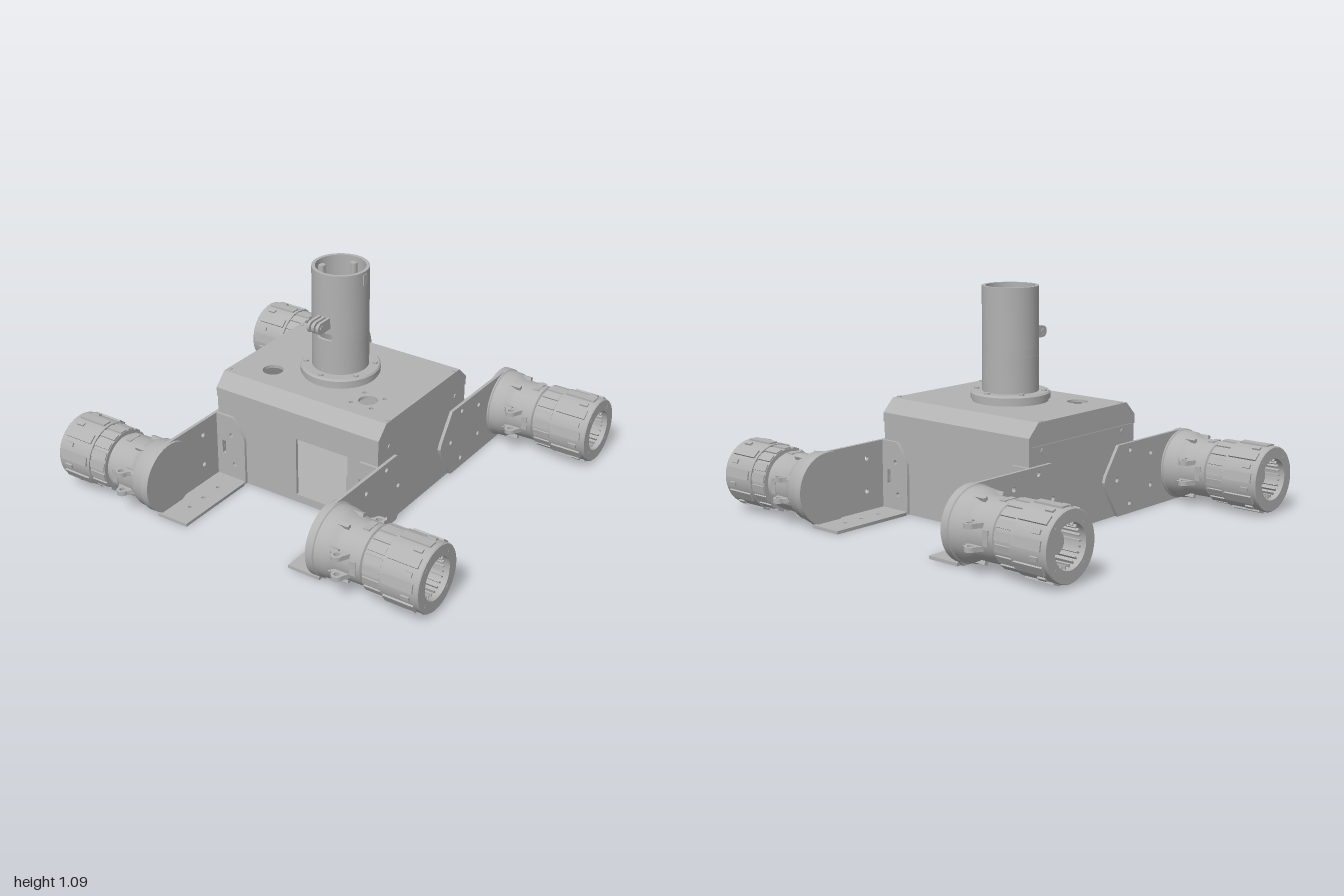
import * as THREE from 'three';
import { toCreasedNormals } from 'three/addons/utils/BufferGeometryUtils.js';

const metal = new THREE.MeshStandardMaterial({ color: 0xb2b2b2, side: THREE.DoubleSide });
metal.name = 'brushed grey';

const V = (p) => p.map(([a, b]) => new THREE.Vector2(a, b));
const TAU = Math.PI * 2;

function add(parent, name, geo, x = 0, y = 0, z = 0) {
  const mesh = new THREE.Mesh(geo, metal);
  mesh.name = name;
  mesh.position.set(x, y, z);
  parent.add(mesh);
  return mesh;
}

// Flat sheet cut from an outline; holes are [a, b, radius] or [a, b, width, height]
function sheet(plane, outline, thick, holes = []) {
  const shape = new THREE.Shape(V(outline));
  for (const [a, b, w, h] of holes) {
    const hole = new THREE.Path();
    if (h === undefined) hole.absarc(a, b, w, 0, TAU, true);
    else hole.setFromPoints(V([[a - w / 2, b - h / 2], [a - w / 2, b + h / 2], [a + w / 2, b + h / 2], [a + w / 2, b - h / 2]]));
    shape.holes.push(hole);
  }
  const geo = new THREE.ExtrudeGeometry(shape, { depth: thick, bevelEnabled: false, curveSegments: 10 });
  geo.translate(0, 0, -thick / 2);
  if (plane === 'zy') geo.rotateY(-Math.PI / 2);
  if (plane === 'xz') geo.rotateX(Math.PI / 2);
  return toCreasedNormals(geo, 0.5);
}

const rect = (a0, b0, a1, b1) => [[a0, b0], [a1, b0], [a1, b1], [a0, b1]];
const flip = (list, s) => list.map(([a, ...rest]) => [a * s, ...rest]);
const arc = (cx, cy, r, a0, a1, n = 12) => Array.from({ length: n + 1 }, (_, i) => {
  const a = a0 + (a1 - a0) * i / n;
  return [cx + r * Math.cos(a), cy + r * Math.sin(a)];
});
const lathe = (pts, start = 0, len = TAU) => toCreasedNormals(new THREE.LatheGeometry(V(pts), 48, start, len), 0.5);
const rod = (r, len, sides = 16) => toCreasedNormals(new THREE.CylinderGeometry(r, r, len, sides), 0.6);

const flangeHoles = [[0.37, 0.255, 0.011], [0.355, 0.1, 0.011], [0.415, 0.18, 0.02, 0.07]];

function makeBody() {
  const g = new THREE.Group();
  g.name = 'body';
  // Hollow lower box
  const bothHoles = [...flangeHoles, ...flip(flangeHoles, -1)];
  add(g, 'frontPanel', sheet('xy', rect(-0.455, 0.01, 0.455, 0.44), 0.015, [...bothHoles, [0.145, 0.2, 0.29, 0.3]]), 0, 0, 0.3725);
  add(g, 'backPanel', sheet('xy', rect(-0.455, 0.01, 0.455, 0.44), 0.015, bothHoles), 0, 0, -0.3725);
  add(g, 'floorPanel', new THREE.BoxGeometry(0.88, 0.015, 0.73), 0, 0.0175, 0);
  // Lid with chamfered front and back edges
  const edge = [[0.383, 0.44], [0.383, 0.485], [0.32, 0.548], [0.32, 0.533], [0.368, 0.48], [0.368, 0.44]];
  const cap = [[-0.38, 0.442], [0.38, 0.442], [0.38, 0.484], [0.319, 0.546], [-0.319, 0.546], [-0.38, 0.484]];
  for (const s of [-1, 1]) {
    add(g, 'sidePanel', sheet('zy', rect(-0.365, 0.01, 0.365, 0.44), 0.015), s * 0.4475);
    add(g, 'lidEdge', sheet('zy', flip(edge, s), 0.916));
    add(g, 'lidEnd', sheet('zy', cap, 0.016), s * 0.449);
    for (const t of [-1, 1]) {
      add(g, 'sideScrew', rod(0.012, 0.006), s * 0.457, 0.415, t * 0.29).rotation.z = Math.PI / 2;
      add(g, 'lidScrew', rod(0.01, 0.006), s * 0.445, 0.549, t * 0.29);
    }
  }
  const small = [[0.215, 0.13], [0.325, 0.13], [0.215, 0.24], [0.325, 0.24]].map((p) => [...p, 0.011]);
  add(g, 'lidTop', sheet('xz', rect(-0.458, -0.32, 0.458, 0.32), 0.015,
    [[-0.27, 0.185, 0.05], [0.27, 0.185, 0.045], ...small]), 0, 0.5405, 0);
  return g;
}

function makeMast() {
  const g = new THREE.Group();
  g.name = 'mast';
  g.position.z = 0.012;
  add(g, 'mastFlange', lathe([[0, 0.548], [0.182, 0.548], [0.182, 0.562], [0.19, 0.562], [0.19, 0.588], [0.183, 0.596], [0, 0.596]]));
  // Tube in three stacked sections, the middle one open at the front as a cable slot
  const tube = (y0, y1, gap) => lathe([[0.118, y0], [0.135, y0], [0.135, y1], [0.118, y1], [0.118, y0]], gap, TAU - 2 * gap);
  add(g, 'mastTube', tube(0.59, 0.765, 0));
  add(g, 'mastTubeSlot', tube(0.765, 0.8, 0.3));
  add(g, 'mastTube', tube(0.8, 1.095, 0));
  add(g, 'mastLatch', new THREE.BoxGeometry(0.012, 0.05, 0.03), 0.132, 1.055, 0);
  for (let i = 0; i < 6; i++) {
    const a = i * TAU / 6;
    add(g, 'flangeBolt', rod(0.013, 0.01), 0.163 * Math.sin(a), 0.599, 0.163 * Math.cos(a));
  }
  for (let i = 0; i < 4; i++) {
    const a = i * TAU / 4;
    add(g, 'innerLug', rod(0.018, 0.1), 0.107 * Math.sin(a), 1.02, 0.107 * Math.cos(a));
  }
  // Three-pronged hinge on the front of the mast
  const prong = [[0.12, 0.83], ...arc(0.2, 0.857, 0.028, -Math.PI / 2, Math.PI / 2), [0.12, 0.885]];
  for (const x of [-0.025, 0, 0.025]) add(g, 'hingeProng', sheet('zy', prong, 0.014, [[0.2, 0.857, 0.013]]), x);
  add(g, 'hingeBolt', rod(0.013, 0.07, 6), 0, 0.857, 0.2).rotation.z = Math.PI / 2;
  return g;
}

// Folded arm joining the body to a thruster; sx and sz choose the corner
function makeArm(sx, sz) {
  const g = new THREE.Group();
  g.name = 'arm';
  const side = [[0.15, 0.16], [0.245, 0.01], [0.82, 0.01], ...arc(0.757, 0.182, 0.172, -1.05, Math.PI / 2),
    [0.245, 0.354], [0.15, 0.22], [0.14, 0.19]];
  const holes = [[0.335, 0.32], [0.235, 0.19], [0.335, 0.06], [0.5, 0.28], [0.5, 0.12]].map((p) => [...p, 0.012]);
  add(g, 'armSidePlate', sheet('zy', flip(side, sz), 0.016, flip(holes, sz)), sx * 0.464);
  const flange = [[0.457, 0.012], [0.457, 0.354], [0.365, 0.354], [0.35, 0.345], [0.297, 0.265], [0.292, 0.25], [0.292, 0.012]];
  add(g, 'armBodyFlange', sheet('xy', flip(flange, sx), 0.015, flip(flangeHoles, sx)), 0, 0, sz * 0.388);
  const shelf = [[0.457, 0.382], [0.457, 0.845], [0.29, 0.845], [0.29, 0.41], [0.305, 0.382]];
  const shelfHoles = [0.51, 0.62, 0.72].map((z) => [0.37, z, 0.01]);
  const place = (list) => list.map(([x, z, ...r]) => [x * sx, z * sz, ...r]);
  add(g, 'armShelf', sheet('xz', place(shelf), 0.015, place(shelfHoles)), 0, 0.0175, 0);
  return g;
}

// Thruster pointing along +x, centred on its own axis
function makeThruster() {
  const g = new THREE.Group();
  g.name = 'thruster';
  const casing = lathe([[0, 0.442], [0.172, 0.442], [0.172, 0.478], [0.166, 0.482], [0.163, 0.53], [0.152, 0.555],
    [0.141, 0.575], [0.139, 0.7], [0.128, 0.705], [0.128, 0.72], [0.148, 0.72], [0.148, 0.81], [0.158, 0.81],
    [0.158, 0.995], [0.154, 1], [0.1, 1], [0.1, 0.84], [0, 0.84]]);
  add(g, 'casing', casing.rotateZ(-Math.PI / 2));

  // Boxes repeated around the axis
  const around = (name, n, r, x, size, phase = 0) => {
    for (let i = 0; i < n; i++) {
      const a = phase + i * TAU / n;
      add(g, name, new THREE.BoxGeometry(...size), x, r * Math.cos(a), r * Math.sin(a)).rotation.x = a;
    }
  };
  around('gripRib', 18, 0.148, 0.765, [0.085, 0.012, 0.036]);
  around('ringClip', 9, 0.158, 0.9, [0.15, 0.014, 0.045]);
  around('clipTab', 9, 0.159, 0.94, [0.04, 0.014, 0.02], TAU / 18);
  around('innerVane', 24, 0.094, 0.91, [0.13, 0.018, 0.007]);
  around('casingWindow', 4, 0.138, 0.665, [0.03, 0.008, 0.07]);
  around('casingRib', 8, 0.148, 0.56, [0.07, 0.02, 0.02], TAU / 16);

  // Hub and face screws
  add(g, 'hub', rod(0.05, 0.09, 24), 0.88, 0, 0).rotation.z = Math.PI / 2;
  for (let i = 0; i < 4; i++) {
    const a = (i + 0.5) * TAU / 4;
    add(g, 'faceScrew', rod(0.01, 0.006), 0.998, 0.125 * Math.cos(a), 0.125 * Math.sin(a)).rotation.z = Math.PI / 2;
  }
  // Paired mounting ears
  for (const s of [-1, 1]) {
    const ear = [[0.54, 0.11], [0.55, 0.14], ...arc(0.602, 0.163, 0.027, Math.PI, 0), [0.645, 0.135], [0.65, 0.11]];
    const outline = ear.map(([x, z]) => [x, z * s]);
    for (const y of [-0.05, 0.05]) add(g, 'mountingEar', sheet('xz', outline, 0.022, [[0.602, 0.163 * s, 0.014]]), 0, y, 0);
  }
  return g;
}

export function createModel() {
  const model = new THREE.Group();
  model.name = 'fourThrusterVehicle';
  model.add(makeBody(), makeMast());
  for (const sx of [-1, 1]) {
    for (const sz of [-1, 1]) {
      model.add(makeArm(sx, sz));
      const thruster = makeThruster();
      thruster.position.set(0, 0.182, sz * 0.757);
      thruster.rotation.y = sx < 0 ? Math.PI : 0;
      model.add(thruster);
    }
  }
  return model;
}
